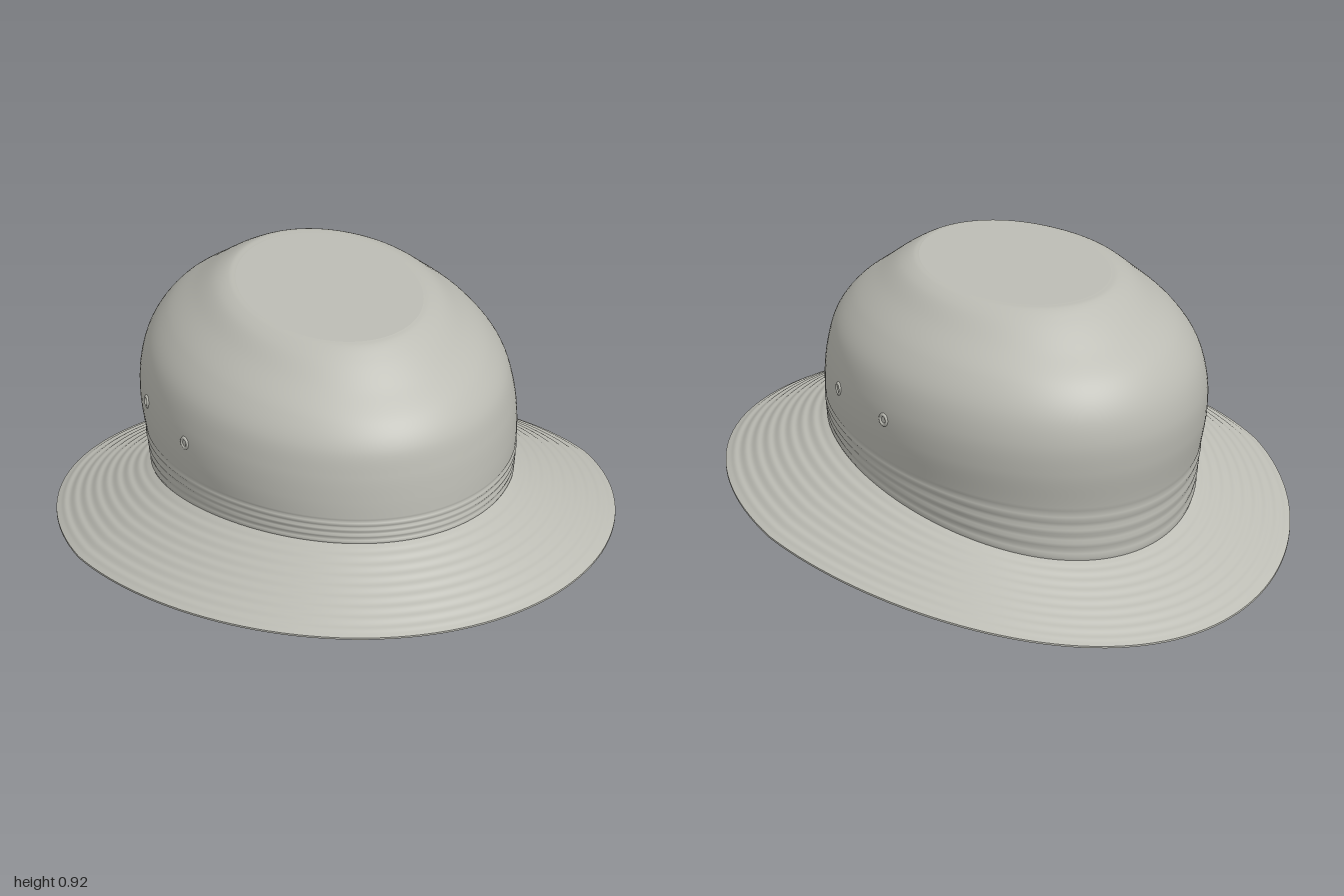
import * as THREE from 'three';

const SEGMENTS = 128;

// Front, side and back outlines of the crown, from seam to flat top: [reach, height]
const crownFront = [[.68, .38], [.675, .45], [.67, .52], [.66, .6], [.64, .68], [.595, .745], [.5, .82], [.42, .88], [.37, .91], [.35, .915]];
const crownSide = [[.535, .32], [.55, .42], [.56, .51], [.555, .6], [.53, .69], [.475, .77], [.395, .845], [.335, .895], [.295, .912], [.275, .915]];
const crownBack = [[-.665, .165], [-.68, .32], [-.713, .47], [-.72, .57], [-.7, .66], [-.65, .74], [-.55, .82], [-.46, .885], [-.41, .912], [-.38, .915]];

const toCurve = (points) => new THREE.CatmullRomCurve3(points.map(([r, y]) => new THREE.Vector3(r, y, 0)));
const crownCurves = [crownFront, crownSide, crownBack].map(toCurve);

// Point on an oval ring given its front, side and back points; grow pushes it outwards
function ovalPoint(front, side, back, angle, grow = 0, lift = 0) {
  const c = Math.cos(angle), s = Math.sin(angle);
  const middle = (front.x + back.x) / 2, half = (front.x - back.x) / 2;
  const y = side.y + (front.y - back.y) / 2 * c + ((front.y + back.y) / 2 - side.y) * c * c;
  return new THREE.Vector3((side.x + grow) * s, y + lift, middle + (half + grow) * c);
}

function crownPoint(u, angle, grow = 0, lift = 0) {
  const [f, s, b] = crownCurves.map((curve) => curve.getPoint(u));
  return ovalPoint(f, s, b, angle, grow, lift);
}

// Point on the brim: t = 0 at the crown seam, 1 at the outer edge
const edge = [[1, .222], [.853, .16], [-1, .006]].map(([r, y]) => new THREE.Vector3(r, y, 0));
function brimPoint(t, angle, lift = 0) {
  const inner = crownPoint(0, angle);
  const outer = ovalPoint(...edge, angle);
  outer.x *= 1 - .09 * Math.max(0, -Math.cos(angle));
  const p = inner.lerp(outer, t);
  p.y += lift;
  return p;
}

// Closed surface of rings; faces out when the rings climb, in when reversed
function ringSurface(rows, pointAt, inward = false) {
  const positions = [], index = [];
  for (let i = 0; i <= rows; i++) {
    for (let j = 0; j < SEGMENTS; j++) {
      positions.push(...pointAt(i / rows, j / SEGMENTS * Math.PI * 2).toArray());
    }
  }
  for (let i = 0; i < rows; i++) {
    for (let j = 0; j < SEGMENTS; j++) {
      const k = (j + 1) % SEGMENTS;
      const a = i * SEGMENTS + j, b = i * SEGMENTS + k, c = b + SEGMENTS, d = a + SEGMENTS;
      if (inward) index.push(a, c, b, a, d, c);
      else index.push(a, b, c, a, c, d);
    }
  }
  const geometry = new THREE.BufferGeometry();
  geometry.setAttribute('position', new THREE.Float32BufferAttribute(positions, 3));
  geometry.setIndex(index);
  geometry.computeVertexNormals();
  return geometry;
}

export function createModel() {
  const hat = new THREE.Group();
  hat.name = 'bucketHat';
  const fabric = new THREE.MeshStandardMaterial({ color: 0xbcbcb4 });
  fabric.name = 'greyFabric';

  const add = (name, geometry) => {
    const mesh = new THREE.Mesh(geometry, fabric);
    mesh.name = name;
    hat.add(mesh);
    return mesh;
  };

  // Crown with stitched ridges just above the seam
  add('crown', ringSurface(120, (u, a) => {
    const ridge = u < .125 ? .0025 * Math.sin(u / .125 * Math.PI * 8) : 0;
    return crownPoint(u, a, ridge);
  }));
  const centre = new THREE.Vector3(0, .916, -.015);
  add('crownTop', ringSurface(6, (t, a) => crownPoint(1, a).lerp(centre, t)));

  // Inside of the crown
  add('lining', ringSurface(40, (u, a) => crownPoint(u, a, -.015, -.008 * u), true));
  add('liningTop', ringSurface(4, (t, a) =>
    crownPoint(1, a, -.015, -.008).lerp(new THREE.Vector3(0, .908, -.015), t), true));
  add('sweatband', ringSurface(8, (t, a) => crownPoint(t * .13, a, -.024, -.012 * (1 - t)), true));
  add('sweatbandTop', ringSurface(1, (t, a) => crownPoint(.13, a, -.024 + t * .01)));

  // Brim with rows of stitching, its underside and thin rim
  add('brim', ringSurface(80, (t, a) => {
    const out = 1 - t;
    const ridge = out > .06 && out < .94 ? .0018 * Math.sin(out * Math.PI * 18) : 0;
    return brimPoint(out, a, ridge);
  }));
  const thickness = (t) => .012 - .006 * t;
  add('brimUnderside', ringSurface(12, (t, a) => brimPoint(t, a, -thickness(t))));
  add('brimRim', ringSurface(1, (t, a) => brimPoint(1, a, -.006 * (1 - t))));

  // Rolled lip around the head opening
  const lipPath = [];
  for (let i = 0; i < 48; i++) lipPath.push(crownPoint(0, i / 48 * Math.PI * 2, -.014, -.011));
  add('openingLip', new THREE.TubeGeometry(new THREE.CatmullRomCurve3(lipPath, true), SEGMENTS, .01, 8, true));

  // Two ventilation eyelets on each side
  for (const side of [1, -1]) {
    for (const slope of [1, -1]) {
      const eyelet = add('eyelet', new THREE.TorusGeometry(.016, .006, 8, 24));
      eyelet.position.set(side * .546, .552, -.027 + slope * .146);
      eyelet.rotation.y = side * (Math.PI / 2 - slope * .17);
    }
  }
  return hat;
}
